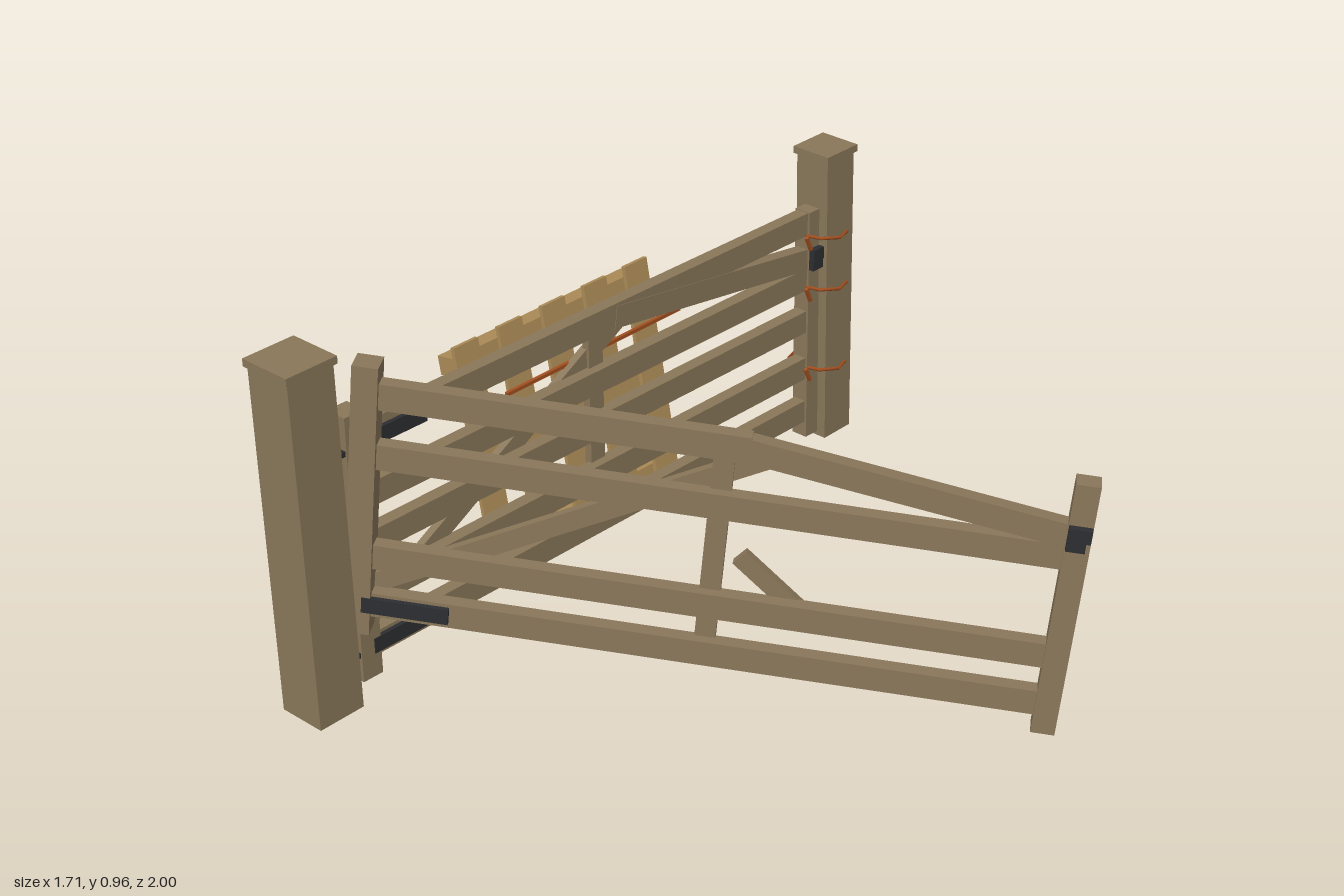
import * as THREE from 'three';

const mat = (name, color) => {
  const m = new THREE.MeshStandardMaterial({ color });
  m.name = name;
  return m;
};

export function createModel() {
  const wood = mat('weathered wood', 0x8a775a);
  const paleWood = mat('pale wood', 0xad8c58);
  const iron = mat('dark iron', 0x2c2e31);
  const rust = mat('rusty wire', 0xa5501f);
  const model = new THREE.Group();

  const box = (parent, name, material, size, pos) => {
    const mesh = new THREE.Mesh(new THREE.BoxGeometry(...size), material);
    mesh.name = name;
    mesh.position.set(...pos);
    parent.add(mesh);
    return mesh;
  };

  // Plank between two points of a gate's plane, at depth z
  const plank = (parent, name, a, b, width, depth, z) => {
    const dx = b[0] - a[0], dy = b[1] - a[1];
    const mesh = box(parent, name, wood, [Math.hypot(dx, dy), width, depth],
      [(a[0] + b[0]) / 2, (a[1] + b[1]) / 2, z]);
    mesh.rotation.z = Math.atan2(dy, dx);
    return mesh;
  };

  // Posts with thin caps
  const post = (name, width, height, z) => {
    const g = new THREE.Group();
    g.name = name;
    g.position.set(-0.618, 0, z);
    box(g, 'postBody', wood, [width, height - 0.02, width], [0, (height - 0.02) / 2, 0]);
    box(g, 'postCap', wood, [width + 0.014, 0.02, width + 0.014], [0, height - 0.01, 0]);
    model.add(g);
  };
  post('hingePost', 0.136, 0.96, 0.925);
  post('latchPost', 0.108, 0.865, -0.939);

  // Gates: length along +x, hinge stile at the origin, braces on the -z side
  const L = 1.655;
  const gate = (name, pos, swing, droop, broken) => {
    const pivot = new THREE.Group();
    pivot.name = name;
    pivot.position.set(...pos);
    pivot.rotation.y = swing;
    const g = new THREE.Group();
    g.rotation.z = -droop;
    pivot.add(g);
    box(g, 'hingeStile', wood, [0.062, 0.73, 0.062], [0, 0.365, 0]);
    box(g, 'latchStile', wood, [0.058, 0.69, 0.05], [L, 0.345, 0]);
    const rails = broken ? [0.08, 0.215, 0.49] : [0.08, 0.215, 0.36, 0.49, 0.655];
    for (const y of rails) plank(g, 'rail', [0, y], [L, y], 0.066, 0.037, 0);
    if (broken) plank(g, 'topRail', [0, 0.65], [0.89, 0.65], 0.068, 0.037, 0);
    plank(g, 'slopedRail', [0.88, 0.65], [L, 0.545], 0.062, 0.036, 0.002);
    plank(g, 'middleUpright', [0.83, 0.035], [0.83, 0.64], 0.05, 0.022, -0.018);
    plank(g, 'brace', [0.01, 0.11], [0.93, 0.615], 0.05, 0.022, -0.026);
    if (broken) plank(g, 'brokenBrace', [0.89, 0.34], [1.06, 0.2], 0.045, 0.022, -0.026);

    // Hinge straps and latch
    for (const y of broken ? [0.085] : [0.085, 0.645]) {
      box(g, 'hingeStrap', iron, [0.21, 0.042, 0.012], [0.115, y, 0.027]);
      box(g, 'hingePin', iron, [0.09, 0.014, 0.014], [-0.04, y - 0.01, 0.02]);
    }
    box(g, 'latchPlate', iron, [0.055, 0.035, 0.02], [L, 0.565, 0.033]);
    box(g, 'latchCatch', iron, [0.045, 0.04, 0.02], [L - 0.005, 0.54, 0.03]);
    model.add(pivot);
  };
  gate('closedGate', [-0.617, 0.035, 0.79], Math.PI / 2, 0.013, false);
  gate('openGate', [-0.59, 0.195, 0.818], 0.612, 0.103, true);

  // Wire loops tied round the latch post, with a short tail
  for (const y of [0.625, 0.47, 0.222]) {
    const g = new THREE.Group();
    g.name = 'wireLoop';
    g.position.set(-0.618, y, -0.912);
    const ring = new THREE.Mesh(new THREE.TorusGeometry(0.079, 0.005, 5, 8), rust);
    ring.name = 'loop';
    ring.rotation.x = Math.PI / 2 - 0.16;
    g.add(ring);
    const tail = box(g, 'wireTail', rust, [0.009, 0.045, 0.009], [0.03, -0.008, 0.075]);
    tail.rotation.x = 0.4;
    model.add(g);
  }

  // Loose wire along the back of the closed gate
  box(model, 'looseWire', rust, [0.009, 0.01, 0.63], [-0.654, 0.57, -0.075]);

  // Pallet leaning on the gate
  const pallet = new THREE.Group();
  pallet.name = 'pallet';
  pallet.position.set(-0.695, 0.02, -0.073);
  pallet.rotation.z = 0.17;
  for (let i = -2; i <= 2; i++) {
    box(pallet, 'palletSlat', paleWood, [0.012, 0.65, 0.083], [0, 0.325, i * 0.1535]);
  }
  for (const y of [0.054, 0.324, 0.594]) {
    box(pallet, 'palletBearer', paleWood, [0.056, 0.052, 0.697], [-0.034, y, 0]);
  }
  model.add(pallet);

  return model;
}
